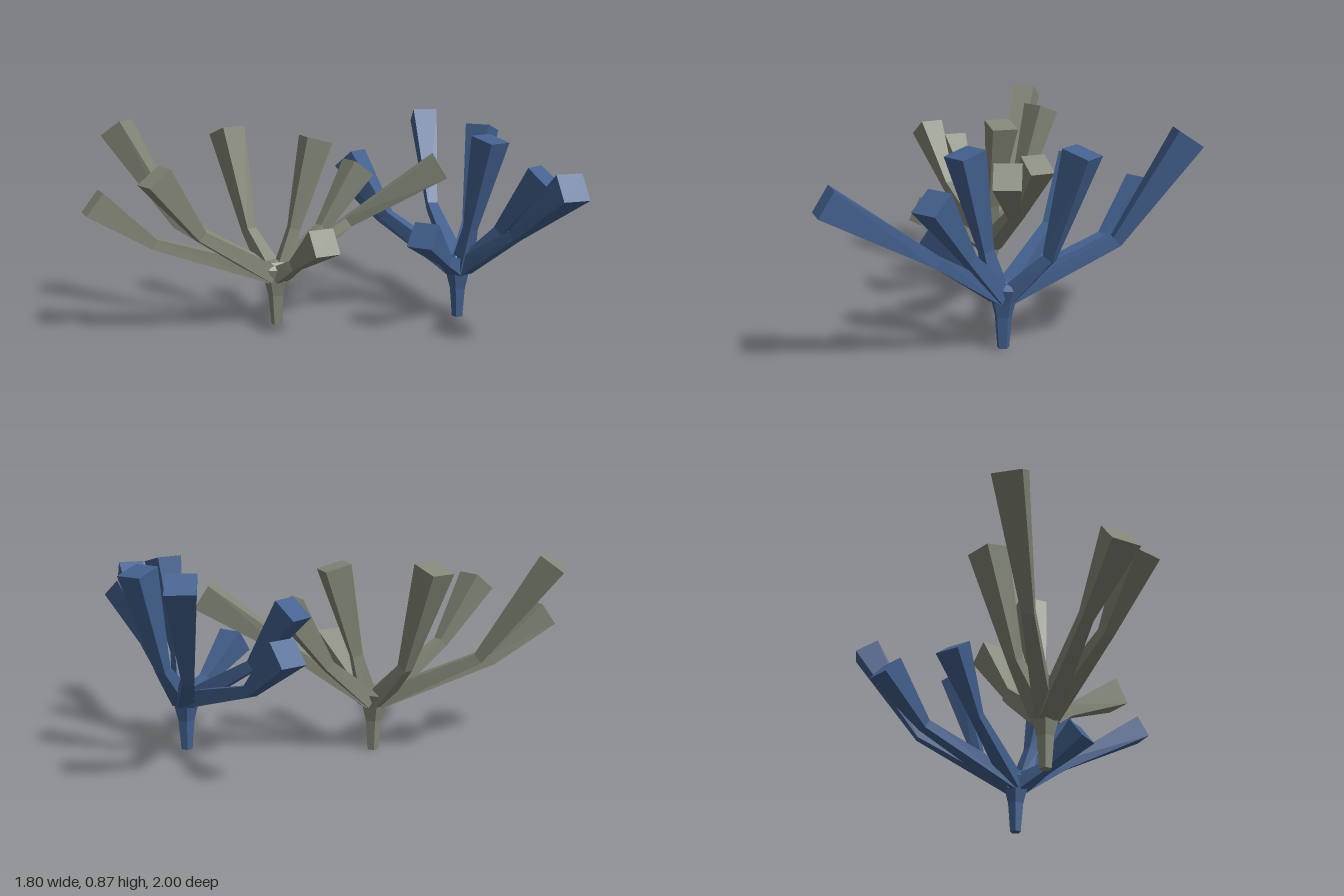
import * as THREE from 'three';

const V = (a) => new THREE.Vector3(...a);

// Square tube through three sections: root, narrow knee, wide blunt tip.
function branchGeometry(root, knee, tip) {
  const pts = [root, knee, tip];
  const half = [0.037, 0.023, 0.057];
  const lower = knee.clone().sub(root).normalize();
  const upper = tip.clone().sub(knee).normalize();
  const dirs = [lower, lower.clone().add(upper).normalize(), upper];
  const pos = [];
  pts.forEach((p, i) => {
    const side = new THREE.Vector3(dirs[i].z, 0, -dirs[i].x).normalize();
    const up = dirs[i].clone().cross(side);
    for (const [a, b] of [[-1, -1], [1, -1], [1, 1], [-1, 1]]) {
      const v = p.clone().addScaledVector(side, a * half[i]).addScaledVector(up, b * half[i]);
      pos.push(v.x, v.y, v.z);
    }
  });
  const index = [0, 2, 1, 0, 3, 2, 8, 9, 10, 8, 10, 11]; // end caps
  for (let r = 0; r < 8; r += 4) {
    for (let k = 0; k < 4; k++) {
      const a = r + k, b = r + (k + 1) % 4;
      index.push(a, b, b + 4, a, b + 4, a + 4);
    }
  }
  const g = new THREE.BufferGeometry();
  g.setAttribute('position', new THREE.Float32BufferAttribute(pos, 3));
  g.setIndex(index);
  const flat = g.toNonIndexed();
  flat.computeVertexNormals();
  return flat;
}

// One coral: flared trunk plus a crown of [knee, tip] branches.
function makeCoral(name, base, color, branches) {
  const coral = new THREE.Group();
  coral.name = name;
  const material = new THREE.MeshStandardMaterial({ color, flatShading: true });

  const profile = [[0, 0], [0.025, 0], [0.036, 0.13], [0.054, 0.2], [0.072, 0.25], [0.045, 0.28], [0, 0.285]];
  const trunk = new THREE.Mesh(
    new THREE.LatheGeometry(profile.map(([r, y]) => new THREE.Vector2(r, y)), 5), material);
  trunk.name = 'trunk';
  trunk.position.set(...base);
  coral.add(trunk);

  branches.forEach(([k, t], i) => {
    const knee = V(k);
    const out = new THREE.Vector3(knee.x - base[0], 0, knee.z - base[2]).normalize();
    const root = V(base).addScaledVector(out, 0.025);
    root.y += 0.225;
    const branch = new THREE.Mesh(branchGeometry(root, knee, V(t)), material);
    branch.name = 'branch' + (i + 1);
    coral.add(branch);
  });
  return coral;
}

export function createModel() {
  const model = new THREE.Group();
  model.name = 'coralPair';

  model.add(makeCoral('greyCoral', [-0.205, 0, -0.305], 0x828676, [
    [[-0.41, 0.43, -0.69], [-0.52, 0.84, -0.95]],
    [[-0.61, 0.38, -0.62], [-0.83, 0.57, -0.73]],
    [[-0.55, 0.43, -0.40], [-0.74, 0.69, -0.45]],
    [[-0.19, 0.39, -0.48], [-0.165, 0.82, -0.63]],
    [[-0.22, 0.28, -0.18], [-0.295, 0.42, 0.05]],
    [[0.08, 0.43, -0.14], [0.32, 0.68, 0.18]],
    [[0.02, 0.40, -0.24], [0.19, 0.66, -0.17]],
    [[-0.14, 0.42, -0.26], [-0.05, 0.80, -0.21]],
  ]));

  model.add(makeCoral('blueCoral', [0.365, 0.01, 0.255], 0x43618f, [
    [[0.31, 0.43, -0.10], [0.29, 0.68, -0.31]].map((p, i) => (i ? [0.29, 0.68, -0.30] : p)),
    [[0.48, 0.38, -0.25], [0.51, 0.57, -0.48]],
    [[0.65, 0.43, -0.09], [0.84, 0.84, -0.28]],
    [[0.54, 0.40, 0.19], [0.67, 0.82, 0.17]],
    [[0.23, 0.285, 0.28], [0.03, 0.43, 0.30]],
    [[0.34, 0.42, 0.33], [0.325, 0.81, 0.43]],
    [[0.37, 0.42, 0.46], [0.375, 0.67, 0.66]],
    [[0.31, 0.42, 0.57], [0.11, 0.68, 0.93]],
  ]));

  return model;
}
